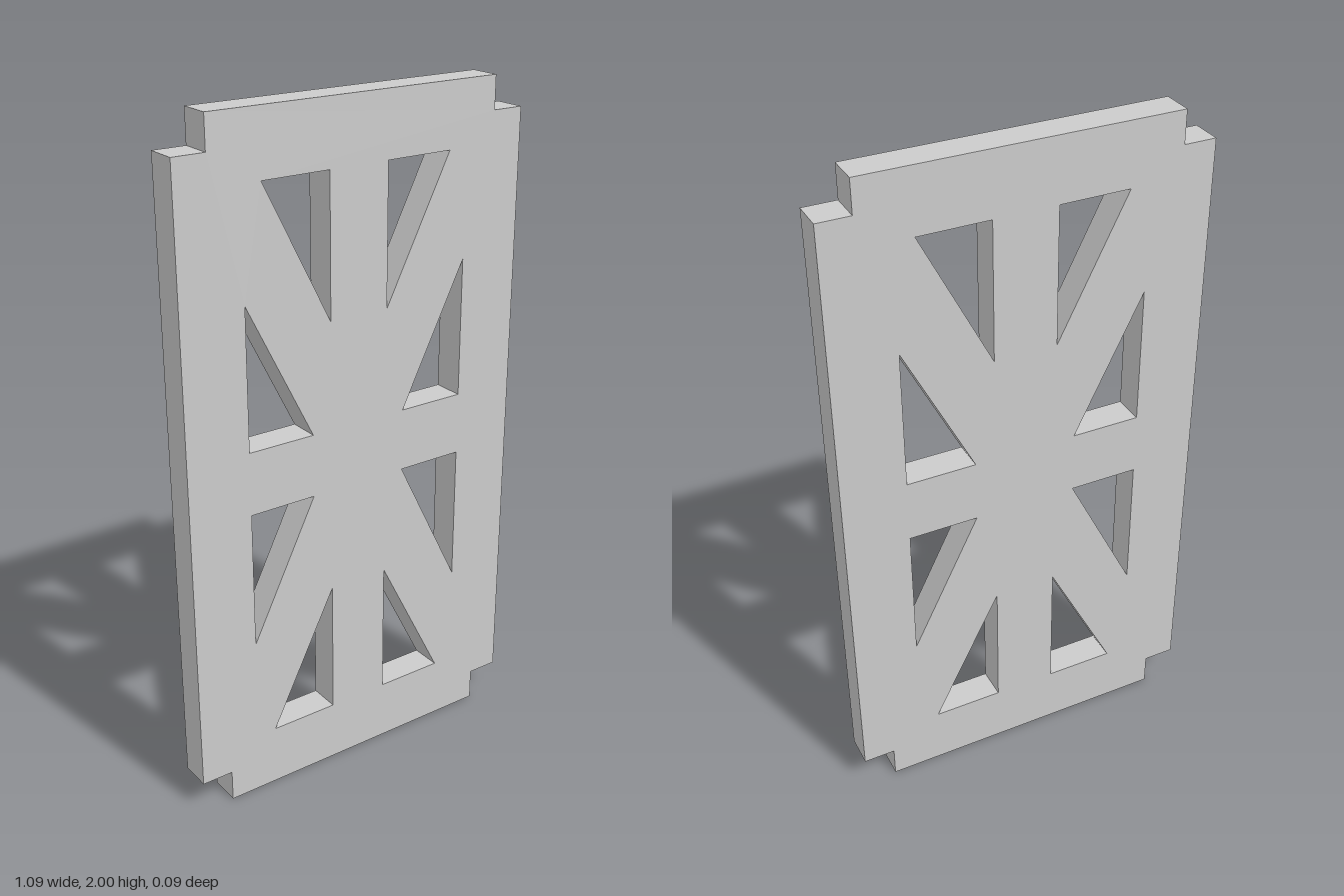
import * as THREE from 'three';

const HALF_W = 0.547, HALF_H = 1, DEPTH = 0.094, NOTCH = 0.095;

const toPoints = (list) => list.map(([x, y]) => new THREE.Vector2(x, y));

// Flat plate with notched corners and triangular cut-outs, mirrored in x and y about its centre
function latticeShape() {
  const nx = HALF_W - NOTCH, ny = HALF_H - NOTCH;
  const corner = [[HALF_W, ny], [nx, ny], [nx, HALF_H]];
  const flip = (sx, sy) => corner.map(([x, y]) => [x * sx, y * sy]);
  const shape = new THREE.Shape(toPoints([
    ...flip(1, 1),
    ...flip(-1, 1).reverse(),
    ...flip(-1, -1),
    ...flip(1, -1).reverse(),
  ]));

  const cutouts = [
    [[0.093, 0.408], [0.299, 0.815], [0.093, 0.815]], // beside the upright bar
    [[0.153, 0.093], [0.357, 0.093], [0.357, 0.502]], // beside the cross bar
  ];
  for (const sx of [1, -1]) {
    for (const sy of [1, -1]) {
      for (const tri of cutouts) {
        shape.holes.push(new THREE.Path(toPoints(tri.map(([x, y]) => [x * sx, y * sy]))));
      }
    }
  }
  return shape;
}

export function createModel() {
  const group = new THREE.Group();
  group.name = 'latticePanel';

  const geometry = new THREE.ExtrudeGeometry(latticeShape(), { depth: DEPTH, bevelEnabled: false });
  geometry.translate(0, HALF_H, -DEPTH / 2);

  const panel = new THREE.Mesh(geometry, new THREE.MeshStandardMaterial({ color: 0xcccccc, flatShading: true }));
  panel.name = 'panel';
  group.add(panel);
  return group;
}
